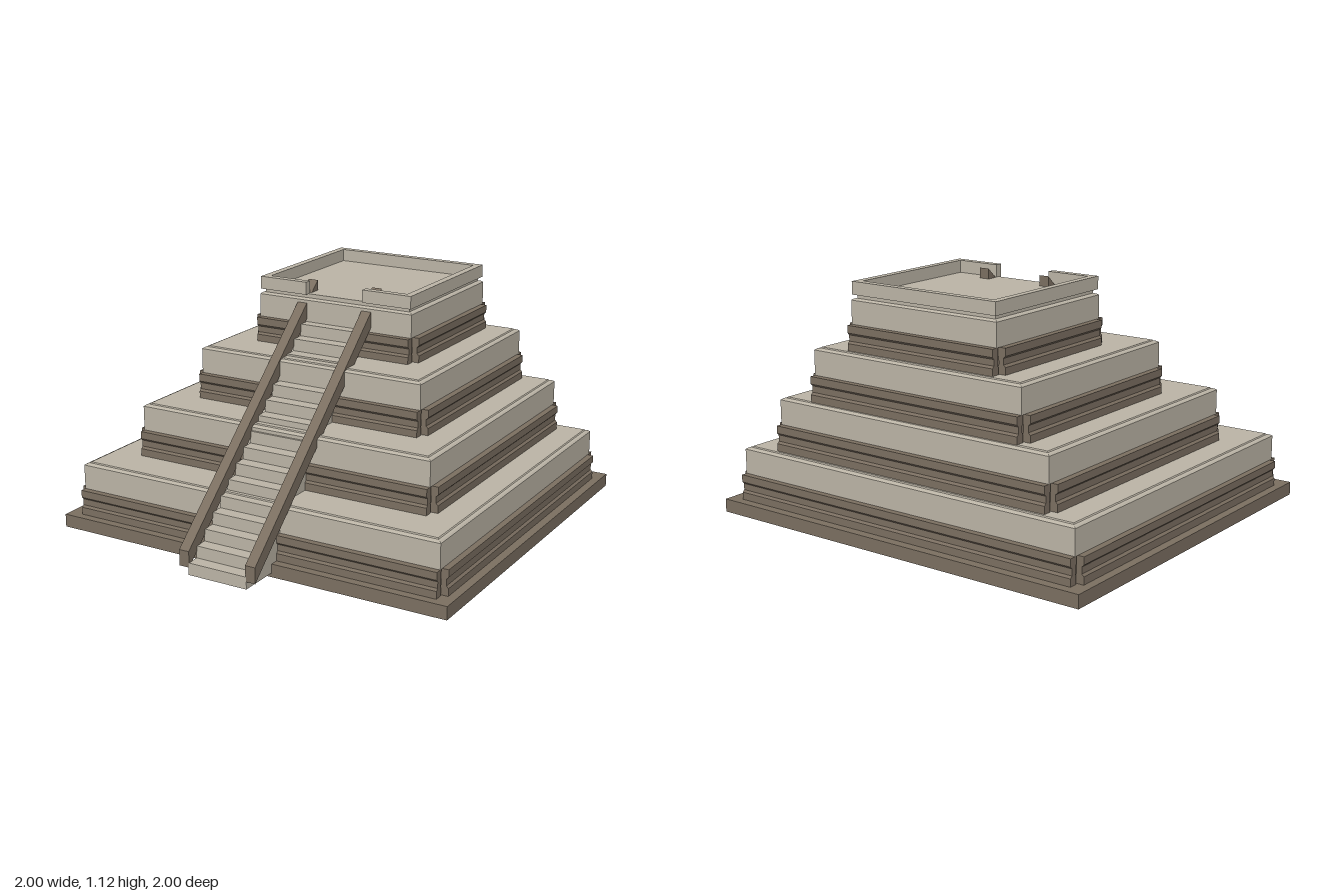
import * as THREE from 'three';

const lightStone = new THREE.MeshStandardMaterial({ color: 0xbab3a5 });
lightStone.name = 'lightStone';
const darkStone = new THREE.MeshStandardMaterial({ color: 0x7a6e60 });
darkStone.name = 'darkStone';

function add(parent, name, geometry, material, x = 0, y = 0, z = 0) {
  const mesh = new THREE.Mesh(geometry, material);
  mesh.name = name;
  mesh.position.set(x, y, z);
  parent.add(mesh);
  return mesh;
}

// Solid made of stacked rectangles [halfX, halfZ, y], bottom to top
function stack(sections) {
  const pos = [];
  const ring = ([hx, hz, y]) => [[-hx, y, hz], [hx, y, hz], [hx, y, -hz], [-hx, y, -hz]];
  const quad = (a, b, c, d) => pos.push(...a, ...b, ...c, ...a, ...c, ...d);
  for (let i = 0; i < sections.length - 1; i++) {
    const a = ring(sections[i]), b = ring(sections[i + 1]);
    for (let k = 0; k < 4; k++) {
      const n = (k + 1) % 4;
      quad(a[k], a[n], b[n], b[k]);
    }
  }
  const bottom = ring(sections[0]), top = ring(sections[sections.length - 1]);
  quad(top[0], top[1], top[2], top[3]);
  quad(bottom[3], bottom[2], bottom[1], bottom[0]);
  const g = new THREE.BufferGeometry();
  g.setAttribute('position', new THREE.Float32BufferAttribute(pos, 3));
  g.computeVertexNormals();
  return g;
}

// Extrude a 2D outline, centred along its depth
function prism(points, depth) {
  const shape = new THREE.Shape(points.map(([x, y]) => new THREE.Vector2(x, y)));
  return new THREE.ExtrudeGeometry(shape, { depth, bevelEnabled: false }).translate(0, 0, -depth / 2);
}

// Outline in (z, y), extruded across x
const sideProfile = (points, width) => prism(points, width).rotateY(-Math.PI / 2);

// One terrace: recessed core, four waisted panels and a bevelled block
function terrace({ y, band, top, hx, hz, cz }) {
  const g = new THREE.Group();
  g.name = 'terrace';
  g.position.set(0, y, cz);
  add(g, 'bandCore', stack([[hx - 0.02, hz - 0.025, 0], [hx - 0.02, hz - 0.025, band]]), darkStone);
  const profile = [
    [-0.01, 0], [0.03, 0], [0.03, 0.035], [0.02, 0.045], [0.02, band - 0.045], [0.03, band - 0.035],
    [0.03, band], [-0.01, band], [-0.01, band - 0.035], [-0.005, band - 0.045], [-0.005, 0.045], [-0.01, 0.035],
  ];
  for (let k = 0; k < 4; k++) {
    const angle = k * Math.PI / 2;
    const length = k % 2 ? 2 * hx : 2 * (hz - 0.02);
    const panel = add(g, 'bandPanel', prism(profile, length), darkStone,
      Math.cos(angle) * hx, 0, -Math.sin(angle) * hz);
    panel.rotation.y = angle;
  }
  add(g, 'terraceBlock', stack([
    [hx, hz, band], [hx, hz, top - 0.013], [hx - 0.008, hz - 0.008, top - 0.007],
    [hx - 0.02, hz - 0.02, top - 0.005], [hx - 0.024, hz - 0.024, top],
  ]), lightStone);
  return g;
}

export function createModel() {
  const model = new THREE.Group();
  model.name = 'steppedPyramid';

  // Ground slab
  add(model, 'baseSlab', new THREE.BoxGeometry(2, 0.062, 1.8), darkStone, 0, 0.031, -0.1);

  // Four terraces, drawn towards the back as they rise
  [
    { y: 0.062, band: 0.12, top: 0.25, hx: 0.93, hz: 0.828, cz: -0.098 },
    { y: 0.312, band: 0.12, top: 0.25, hx: 0.755, hz: 0.675, cz: -0.186 },
    { y: 0.56, band: 0.12, top: 0.25, hx: 0.58, hz: 0.53, cz: -0.28 },
    { y: 0.808, band: 0.118, top: 0.24, hx: 0.405, hz: 0.378, cz: -0.368 },
  ].forEach((t) => model.add(terrace(t)));

  // Platform floor and parapet with an opening above the stairs
  add(model, 'platformFloor', stack([[0.385, 0.36, 1.04], [0.385, 0.36, 1.062]]), lightStone, 0, 0, -0.368);
  const back = 0.745, front = -0.01, t = 0.035, hx = 0.4, gap = 0.15;
  const parapet = prism([
    [-gap, front], [-hx, front], [-hx, back], [hx, back], [hx, front], [gap, front],
    [gap, front + t], [hx - t, front + t], [hx - t, back - t],
    [-hx + t, back - t], [-hx + t, front + t], [-gap, front + t],
  ], 0.06).rotateX(-Math.PI / 2);
  add(model, 'parapet', parapet, lightStone, 0, 1.09, 0);

  // Staircase
  const steps = 17, run = 0.0625, rise = 0.057, foot = 0.02;
  const outline = [[-0.07, foot], [1, foot]];
  for (let i = 0; i < steps; i++) {
    outline.push([1 - i * run, foot + (i + 1) * rise], [1 - (i + 1) * run, foot + (i + 1) * rise]);
  }
  add(model, 'staircase', sideProfile(outline, 0.3), lightStone);

  // Sloping balustrades, ending just inside the parapet
  for (const side of [-1, 1]) {
    const rail = sideProfile([[1, 0.055], [1, 0.13], [-0.09, 1.111], [-0.09, 1.036]], 0.05);
    add(model, side > 0 ? 'leftBalustrade' : 'rightBalustrade', rail, darkStone, side * 0.171, 0, 0);
  }
  return model;
}
